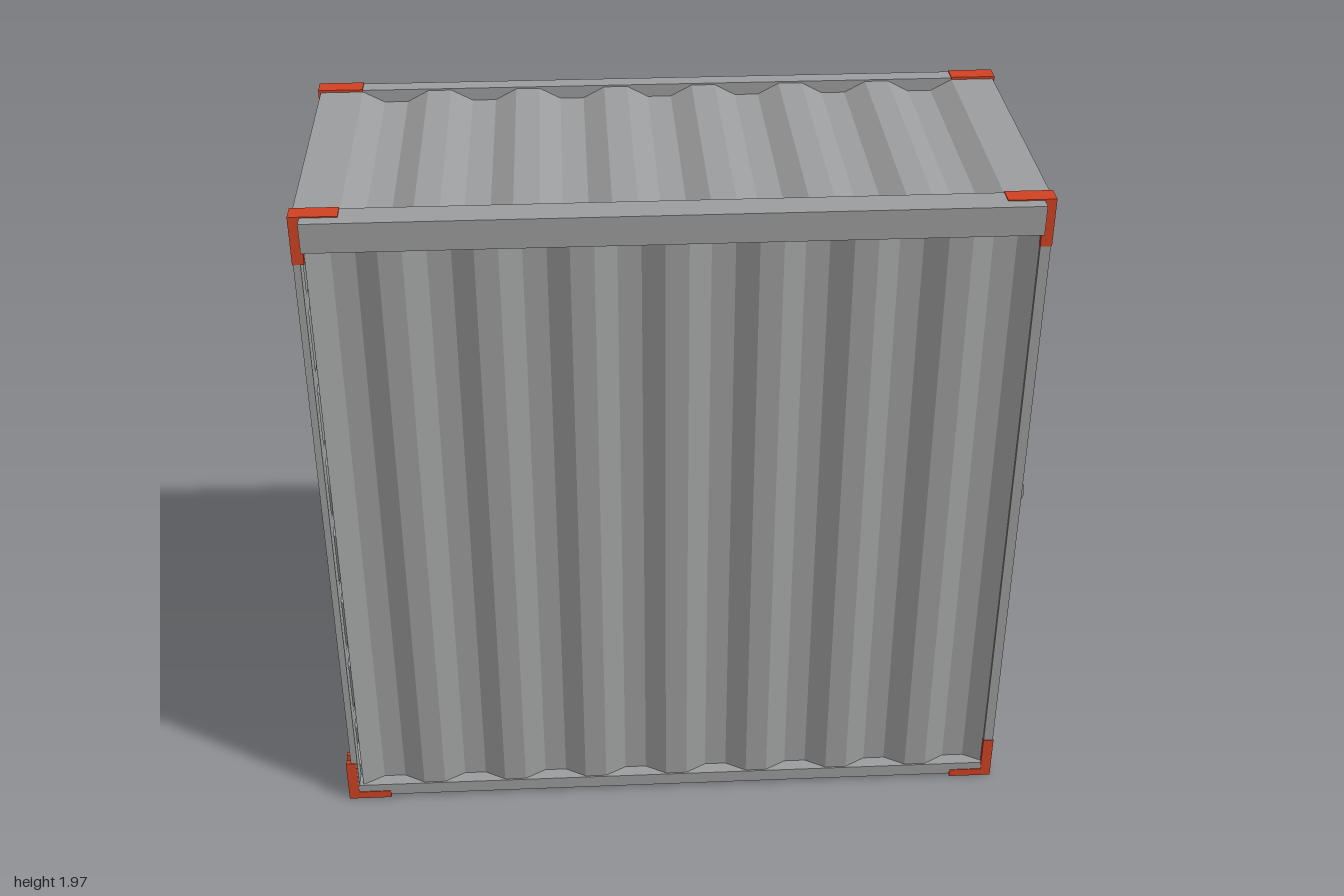
import * as THREE from 'three';

const steel = new THREE.MeshStandardMaterial({ color: 0x9b9c9d, side: THREE.DoubleSide });
steel.name = 'grey steel';
const orange = new THREE.MeshStandardMaterial({ color: 0xcf4222 });
orange.name = 'orange paint';

// Box given by its minimum and maximum on each axis
function box(parent, name, material, [x0, x1], [y0, y1], [z0, z1]) {
  const mesh = new THREE.Mesh(new THREE.BoxGeometry(x1 - x0, y1 - y0, z1 - z0), material);
  mesh.position.set((x0 + x1) / 2, (y0 + y1) / 2, (z0 + z1) / 2);
  mesh.name = name;
  parent.add(mesh);
  return mesh;
}

// Open sheet: a profile of (u, w) points swept from v0 to v1; place() maps (u, v, w) to x, y, z
function sheet(parent, name, profile, v0, v1, place) {
  const positions = [];
  for (let i = 0; i < profile.length - 1; i++) {
    const [a, b] = [profile[i], profile[i + 1]];
    const p = place(a[0], v0, a[1]), q = place(b[0], v0, b[1]);
    const r = place(b[0], v1, b[1]), s = place(a[0], v1, a[1]);
    positions.push(...p, ...q, ...r, ...p, ...r, ...s);
  }
  const geometry = new THREE.BufferGeometry();
  geometry.setAttribute('position', new THREE.Float32BufferAttribute(positions, 3));
  geometry.computeVertexNormals();
  const mesh = new THREE.Mesh(geometry, steel);
  mesh.name = name;
  parent.add(mesh);
}

// Trapezoid corrugation: crests at w = 0, valleys at w = -depth, centred between start and end
function corrugation(start, end, count, pitch, depth) {
  const slope = 0.06, flat = pitch / 2 - slope;
  const points = [[start, 0]];
  const first = (start + end) / 2 - ((count - 1) * pitch) / 2;
  for (let i = 0; i < count; i++) {
    const c = first + i * pitch;
    points.push([c - flat / 2 - slope, 0], [c - flat / 2, -depth], [c + flat / 2, -depth], [c + flat / 2 + slope, 0]);
  }
  points.push([end, 0]);
  return points;
}

// Corner casting: upright leg and flat leg with bolt heads
function corner(parent, sx, z, top) {
  const group = new THREE.Group();
  group.name = (top ? 'top' : 'bottom') + (z > 0 ? 'Front' : 'Rear') + (sx > 0 ? 'Left' : 'Right') + 'Corner';
  const outer = sx > 0 ? 0.975 : top ? -0.987 : -1;
  const span = (d) => (sx > 0 ? [outer - d, outer] : [outer, outer + d]);
  const zs = [z - 0.027, z + 0.027];
  const legY = top ? [1.85, 1.965] : [0, 0.12];
  box(group, 'uprightLeg', orange, span(0.031), legY, zs);
  // forked tip of the upright leg
  const tipY = top ? [1.83, 1.85] : [0.12, 0.14];
  for (const s of [-1, 1]) {
    const c = z + s * 0.019;
    box(group, 'forkTip', orange, span(0.031), tipY, [c - 0.008, c + 0.008]);
  }
  box(group, 'flatLeg', orange, span(0.127), top ? [1.94, 1.965] : [0, 0.025], zs);
  for (const y of top ? [1.89, 1.93] : [0.045, 0.085]) {
    const bolt = new THREE.Mesh(new THREE.CylinderGeometry(0.006, 0.006, 0.004, 10), orange);
    bolt.rotation.z = Math.PI / 2;
    bolt.position.set(outer + sx * 0.001, y, z);
    bolt.name = 'bolt';
    group.add(bolt);
  }
  parent.add(group);
}

export function createModel() {
  const model = new THREE.Group();
  model.name = 'storageContainer';

  // Posts, long beams and corners
  const frontZ = 0.395, rearZ = -0.432;
  for (const z of [frontZ, rearZ]) {
    const side = z > 0 ? 'front' : 'rear';
    const zs = [z - 0.025, z + 0.025];
    box(model, side + 'RightPost', steel, [-0.985, -0.966], [0.02, 1.95], zs);
    box(model, side + 'LeftPost', steel, [0.945, 0.973], [0.02, 1.95], zs);
    box(model, side + 'BottomBeam', steel, [-0.97, 0.95], [0.01, 0.05], zs);
    box(model, side + 'TopBeam', steel, [-0.97, 0.95], [1.92, 1.962], zs);
    for (const sx of [-1, 1]) for (const top of [false, true]) corner(model, sx, z, top);
  }

  // End beams and floor
  box(model, 'doorSill', steel, [0.92, 0.97], [0.01, 0.08], [-0.405, 0.37]);
  box(model, 'doorTopBeam', steel, [0.92, 0.965], [1.925, 1.955], [-0.39, 0.37]);
  box(model, 'endBottomBeam', steel, [-0.982, -0.93], [0.01, 0.08], [-0.405, 0.37]);
  box(model, 'endTopBeam', steel, [-0.982, -0.93], [1.92, 1.95], [-0.405, 0.37]);
  box(model, 'floor', steel, [-0.975, 0.965], [0.01, 0.04], [-0.41, 0.375]);

  // Open channel along the top of the front
  sheet(model, 'frontHeader', [[1.962, 0.41], [1.962, 0.4575], [1.88, 0.4575], [1.88, 0.415]],
    -0.957, 0.943, (u, v, w) => [v, u, w]);

  // Corrugated walls, end and roof
  const wall = corrugation(-0.955, 0.955, 8, 0.246, 0.035);
  sheet(model, 'frontWall', wall, 0.05, 1.925, (u, v, w) => [u, v, 0.415 + w]);
  sheet(model, 'rearWall', wall, 0.05, 1.925, (u, v, w) => [u, v, -0.45 - w]);
  sheet(model, 'endWall', corrugation(0.05, 1.93, 8, 0.235, 0.035), -0.41, 0.385,
    (u, v, w) => [-0.966 - w, u, v]);
  sheet(model, 'roof', corrugation(-0.98, 0.97, 7, 0.2535, 0.032), -0.405, 0.37,
    (u, v, w) => [u, 1.958 + w, v]);

  // Door, frame and lock
  box(model, 'doorFrame', steel, [0.93, 0.96], [0.08, 1.925], [-0.395, 0.372]);
  box(model, 'doorPanel', steel, [0.935, 0.965], [0.1, 1.803], [-0.388, 0.323]);
  box(model, 'upperDoorStop', steel, [0.95, 0.967], [1.07, 1.92], [0.323, 0.37]);
  box(model, 'lowerDoorStop', steel, [0.95, 0.967], [0.14, 0.9], [0.323, 0.37]);
  box(model, 'lockPlate', steel, [0.95, 0.975], [0.9, 1.07], [0.27, 0.37]);
  box(model, 'lockFlange', steel, [0.97, 0.998], [0.9, 1.07], [0.272, 0.288]);
  const grip = new THREE.Mesh(new THREE.TorusGeometry(0.024, 0.006, 8, 20), steel);
  grip.scale.set(0.95, 1.45, 1);
  grip.position.set(0.971, 1.01, 0.347);
  grip.name = 'handle';
  model.add(grip);

  return model;
}
